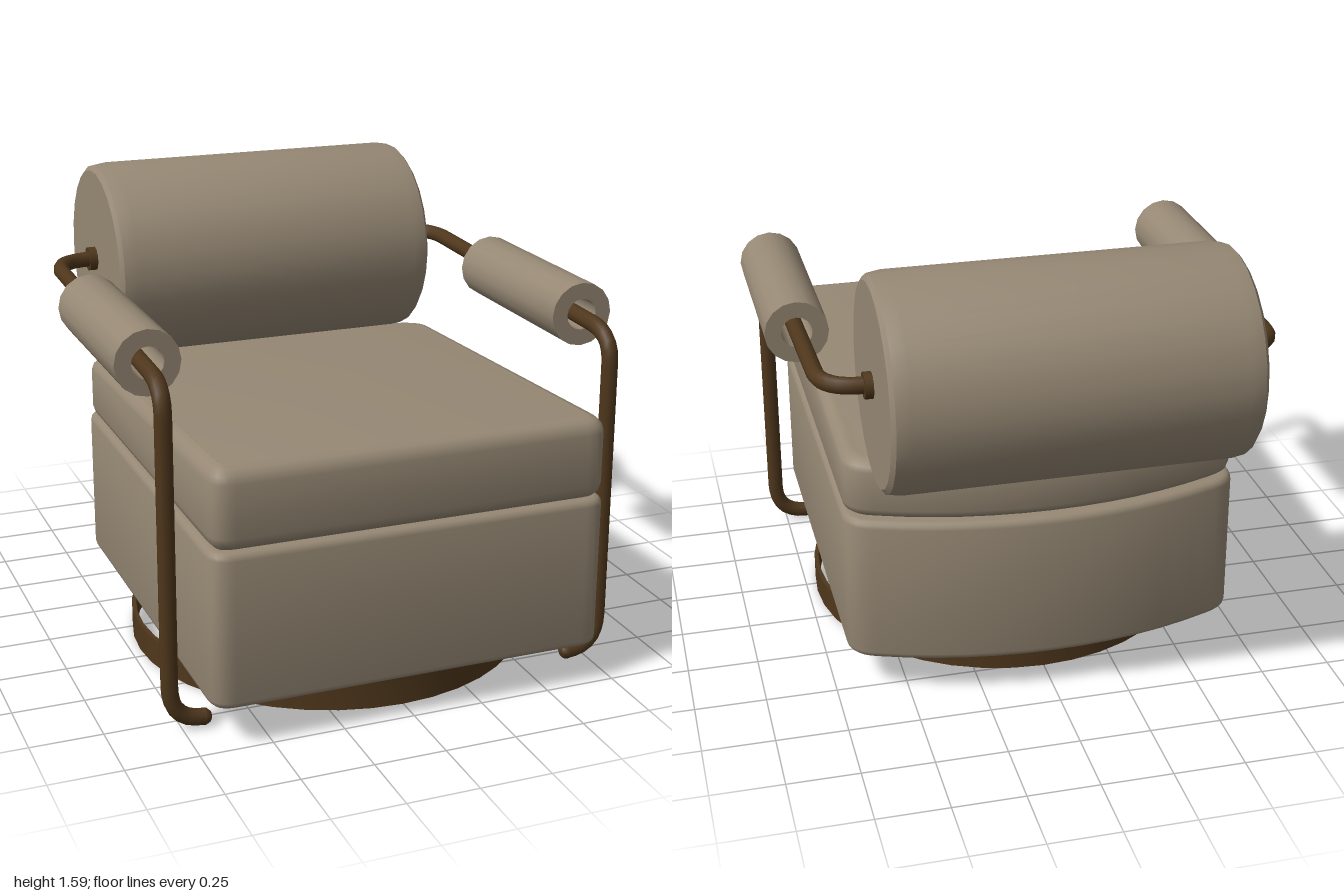
import * as THREE from 'three';
import { toCreasedNormals } from 'three/addons/utils/BufferGeometryUtils.js';

const V = (x, y, z) => new THREE.Vector3(x, y, z);

export function createModel() {
  const model = new THREE.Group();
  const fabric = new THREE.MeshStandardMaterial({ color: 0x968874 });
  fabric.name = 'taupe fabric';
  const bronze = new THREE.MeshStandardMaterial({ color: 0x4f371c });
  bronze.name = 'dark bronze';

  const add = (name, geometry, material, parent = model) => {
    const mesh = new THREE.Mesh(geometry, material);
    mesh.name = name;
    parent.add(mesh);
    return mesh;
  };

  // Spun profile given as [radius, height] pairs, hard edges kept
  const spin = (profile, sides) => toCreasedNormals(
    new THREE.LatheGeometry(profile.map(([r, h]) => new THREE.Vector2(r, h)), sides), 0.6);

  // Seat plan: square front with rounded corners, bowed back (shape y is -z)
  const seatPlan = (w, back) => {
    const r = 0.08, f = -1;
    const s = new THREE.Shape();
    s.moveTo(-w + r, f);
    s.lineTo(w - r, f);
    s.quadraticCurveTo(w, f, w, f + r);
    s.lineTo(w, back - 0.22);
    s.quadraticCurveTo(w, back - 0.14, w - 0.09, back - 0.11);
    s.quadraticCurveTo(0.32, back, 0, back);
    s.quadraticCurveTo(-0.32, back, -w + 0.09, back - 0.11);
    s.quadraticCurveTo(-w, back - 0.14, -w, back - 0.22);
    s.lineTo(-w, f + r);
    s.quadraticCurveTo(-w, f, -w + r, f);
    return s;
  };
  const seatBlock = (w, back, y0, y1, bevel) => {
    const g = new THREE.ExtrudeGeometry(seatPlan(w, back), {
      depth: y1 - y0 - 2 * bevel, bevelSize: bevel, bevelThickness: bevel,
      bevelOffset: -bevel, bevelSegments: 3, curveSegments: 6,
    });
    g.rotateX(-Math.PI / 2);
    g.translate(0, y0 + bevel, 0);
    return g;
  };

  // Upholstered base
  add('seatBase', toCreasedNormals(seatBlock(0.7, 0.66, 0.15, 0.69, 0.025), 0.7), fabric);

  // Seat cushion, top falling towards the back
  const cushion = seatBlock(0.695, 0.64, 0.69, 0.97, 0.05);
  const p = cushion.attributes.position;
  for (let i = 0; i < p.count; i++) {
    const up = (p.getY(i) - 0.69) / 0.28;
    const t = Math.max(0, (0.9 - p.getZ(i)) / 1.54);
    p.setY(i, p.getY(i) - 0.07 * t * up);
  }
  add('seatCushion', toCreasedNormals(cushion, 0.7), fabric);

  // Swivel plinth and floor ring
  add('plinth', spin([[0, 0.105], [0.655, 0.105], [0.655, 0.17], [0, 0.17]], 40), fabric)
    .position.z = 0.195;
  add('floorRing', spin([[0.7, 0.01], [0.715, 0.01], [0.715, 0.11], [0.7, 0.11], [0.7, 0.01]], 40), bronze)
    .position.z = 0.195;

  // Back bolster
  const bolster = add('backBolster', spin([[0, -0.612], [0.34, -0.612], [0.358, -0.598],
    [0.366, -0.55], [0.366, 0.55], [0.358, 0.598], [0.34, 0.612], [0, 0.612]], 26), fabric);
  bolster.rotation.z = Math.PI / 2;
  bolster.position.set(0, 1.24, -0.634);

  // Arms: bent tube frame, hollow padded roll, collar and foot cap
  for (const side of [1, -1]) {
    const arm = new THREE.Group();
    arm.name = side > 0 ? 'leftArm' : 'rightArm';
    model.add(arm);

    const at = (x, y, z) => V(side * x, y, z);
    const path = new THREE.CurvePath();
    const line = (a, b) => path.add(new THREE.LineCurve3(a, b));
    const bend = (a, c, b) => path.add(new THREE.QuadraticBezierCurve3(a, c, b));
    const a = at(0.58, 1.245, -0.645), b = at(0.65, 1.245, -0.64), c = at(0.775, 1.24, -0.49),
      d = at(0.785, 1.205, 0.68), e = at(0.788, 1.1, 0.808), f = at(0.79, 0.17, 0.808),
      g = at(0.675, 0.042, 0.808);
    line(a, b);
    bend(b, at(0.775, 1.245, -0.63), c);
    line(c, d);
    bend(d, at(0.788, 1.2, 0.808), e);
    line(e, f);
    bend(f, at(0.79, 0.045, 0.808), g);
    add('armTube', new THREE.TubeGeometry(path, 100, 0.029, 10), bronze, arm);
    add('footCap', new THREE.SphereGeometry(0.029, 10, 6), bronze, arm).position.copy(g);

    const collar = add('bolsterCollar', new THREE.CylinderGeometry(0.045, 0.045, 0.05, 12), bronze, arm);
    collar.rotation.z = Math.PI / 2;
    collar.position.copy(at(0.615, 1.245, -0.645));

    const pad = add('armPad', spin([[0.055, -0.36], [0.112, -0.36], [0.112, 0.36],
      [0.055, 0.36], [0.055, -0.36]], 16), fabric, arm);
    pad.rotation.x = Math.PI / 2;
    pad.position.set(side * 0.778, 1.22, 0.26);
  }

  return model;
}
